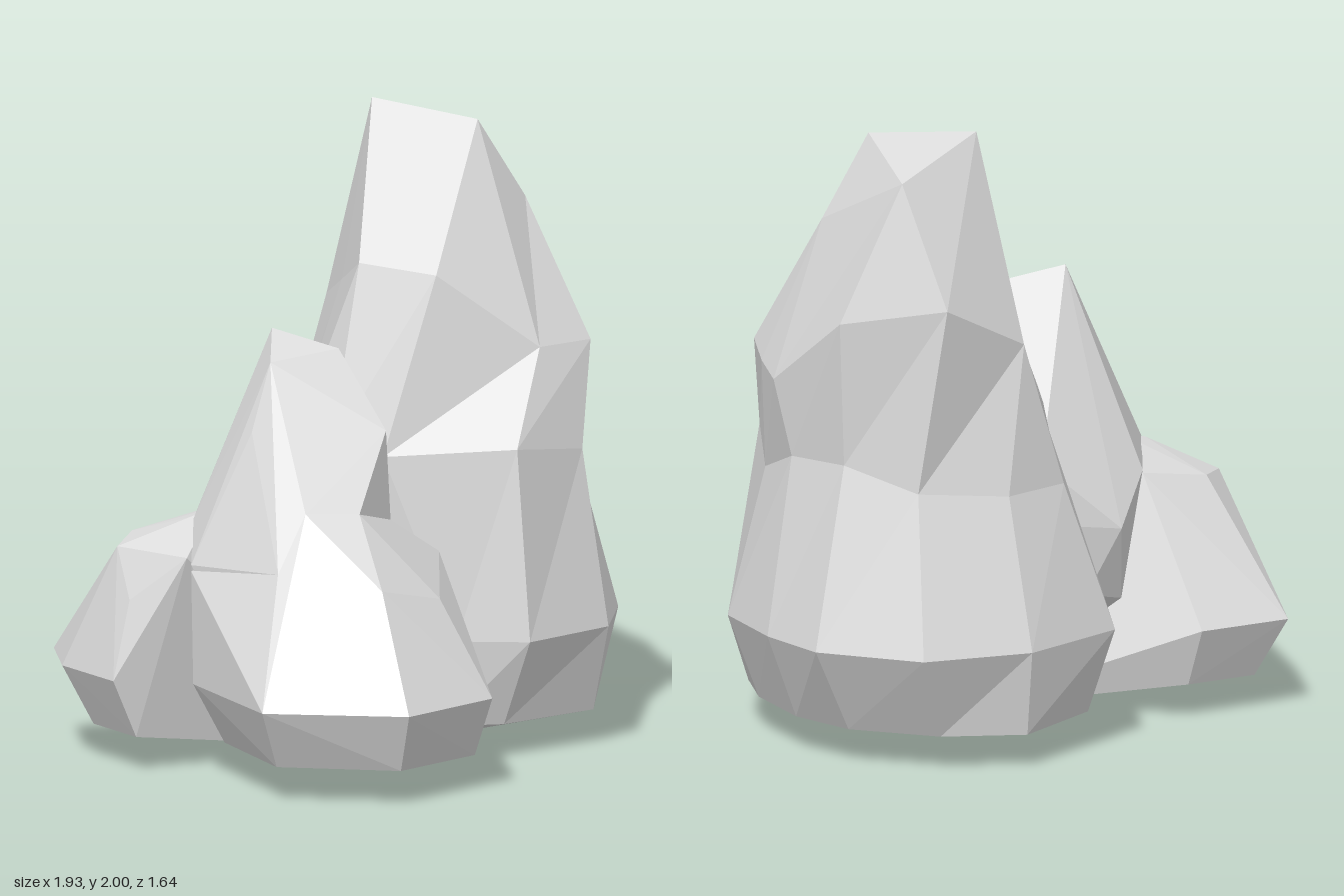
import * as THREE from 'three';
import { ConvexGeometry } from 'three/addons/geometries/ConvexGeometry.js';

const stone = new THREE.MeshStandardMaterial({ color: 0xdcdcdc, flatShading: true });
stone.name = 'light grey stone';

// All rocks taper underneath to one shared point
const foot = [0, 0, -0.05];
const level = (y, pairs) => pairs.map(([x, z]) => [x, y, z]);

function addMesh(group, name, geometry) {
  const mesh = new THREE.Mesh(geometry, stone);
  mesh.name = name;
  group.add(mesh);
}

// Skin a stack of rings, closed by a point below and a point above
function loft(rings, bottom, top) {
  const pos = [];
  const tri = (...corners) => corners.forEach((c) => pos.push(...c));
  const n = rings[0].length;
  const last = rings[rings.length - 1];
  for (let i = 0; i < n; i++) {
    const j = (i + 1) % n;
    tri(bottom, rings[0][j], rings[0][i]);
    for (let r = 0; r < rings.length - 1; r++) {
      const a = rings[r], b = rings[r + 1];
      tri(a[i], a[j], b[j]);
      tri(a[i], b[j], b[i]);
    }
    tri(top, last[i], last[j]);
  }
  const geometry = new THREE.BufferGeometry();
  geometry.setAttribute('position', new THREE.Float32BufferAttribute(pos, 3));
  geometry.computeVertexNormals();
  return geometry;
}

const hull = (points) => new ConvexGeometry(points.map((p) => new THREE.Vector3(...p)));

export function createModel() {
  const group = new THREE.Group();
  group.name = 'rockCluster';

  // Tall rock: rings run from the front round by +x to the back
  const base = level(0.11, [
    [0.16, 0.38], [0.54, 0.39], [0.68, 0.21], [0.79, -0.06], [0.8, -0.3], [0.67, -0.58],
    [0.46, -0.76], [0.1, -0.68], [-0.05, -0.5], [-0.1, -0.2], [-0.1, 0.1], [0, 0.28],
  ]);
  const belly = level(0.39, [
    [0.16, 0.5], [0.53, 0.47], [0.79, 0.24], [0.91, -0.05], [0.96, -0.31], [0.82, -0.65],
    [0.49, -0.81], [0.08, -0.78], [-0.08, -0.53], [-0.15, -0.2], [-0.15, 0.12], [0, 0.33],
  ]);
  const waist = [
    [0.17, 1, 0.43], [0.52, 0.95, 0.36], [0.66, 0.86, 0.2], [0.8, 0.96, -0.05],
    [0.81, 0.97, -0.29], [0.72, 0.9, -0.53], [0.45, 0.87, -0.67], [0.2, 0.87, -0.67],
    [0.1, 1.12, -0.45], [-0.12, 1, -0.28], [-0.17, 0.98, -0.07], [-0.15, 0.98, 0.15],
  ];
  const ridge = [0, 1.55, -0.12], backCorner = [0.34, 1.34, -0.63];
  const shoulder = [
    [0.41, 1.28, 0.28], [0.66, 1.27, 0.25], [0.74, 1.23, 0.14], [0.81, 1.2, 0.02],
    [0.85, 1.44, -0.31], [0.67, 1.5, -0.61], backCorner, backCorner,
    [0.17, 1.44, -0.38], ridge, ridge, [0.1, 1.53, 0.13],
  ];
  const tipBack = [0.34, 2, -0.42], tipFront = [0.47, 1.96, -0.07];
  const tipSide = [0.69, 1.89, -0.43], tipLow = [0.63, 1.7, -0.02];
  const crown = [
    tipFront, tipLow, tipLow, tipLow, tipSide, tipSide,
    tipBack, tipBack, tipBack, tipBack, tipBack, tipFront,
  ];
  addMesh(group, 'tallRock', loft([base, belly, waist, shoulder, crown], foot, tipFront));

  // Middle rock with a three-cornered peak
  addMesh(group, 'middleRock', hull([
    foot,
    [-0.5, 1.31, 0], [-0.38, 1.39, -0.12], [-0.25, 1.33, 0.05],
    [-0.27, 1.1, 0.29], [-0.48, 0.87, 0.39], [-0.64, 0.88, 0.31], [-0.6, 1.1, 0.02],
    [-0.25, 0.81, 0.29],
    [-0.76, 0.7, 0.31], [-0.77, 0.68, -0.08], [-0.64, 0.79, -0.21], [-0.4, 0.77, -0.44],
    [-0.2, 0.63, -0.54], [0, 0.66, -0.46], [0.04, 0.86, -0.42],
    [-0.27, 0.38, -0.47], [-0.1, 0.42, -0.48], [-0.12, 0.98, -0.28], [-0.15, 0.98, 0.13],
    ...level(0.3, [[-0.74, 0.2], [-0.7, -0.1]]),
  ]));

  // Low rock at the front
  addMesh(group, 'frontRock', hull([
    foot,
    ...level(0.11, [[-0.87, 0.42], [-0.63, 0.74], [-0.27, 0.7], [-0.03, 0.33], [-0.7, 0]]),
    ...level(0.3, [[-0.97, 0.46], [-0.67, 0.82], [-0.26, 0.77], [-0.01, 0.33], [-0.78, -0.06]]),
    [-0.57, 0.66, 0.59], [-0.3, 0.6, 0.57], [-0.03, 0.68, 0.28], [-0.25, 0.81, 0.29],
    [-0.48, 0.87, 0.39], [-0.64, 0.88, 0.31], [-0.76, 0.7, 0.31], [-0.77, 0.66, -0.08],
  ]));

  // Low rock at the back
  addMesh(group, 'backRock', hull([
    foot,
    ...level(0.11, [[-0.84, -0.26], [-0.78, -0.52], [-0.62, -0.72], [-0.38, -0.66]]),
    ...level(0.3, [[-0.93, -0.27], [-0.86, -0.58], [-0.67, -0.82], [-0.36, -0.74]]),
    [-0.85, 0.55, -0.28], [-0.79, 0.7, -0.4], [-0.64, 0.72, -0.49], [-0.4, 0.76, -0.44],
    [-0.64, 0.8, -0.22], [-0.55, 0.82, -0.21], [-0.77, 0.7, -0.1],
  ]));

  return group;
}
